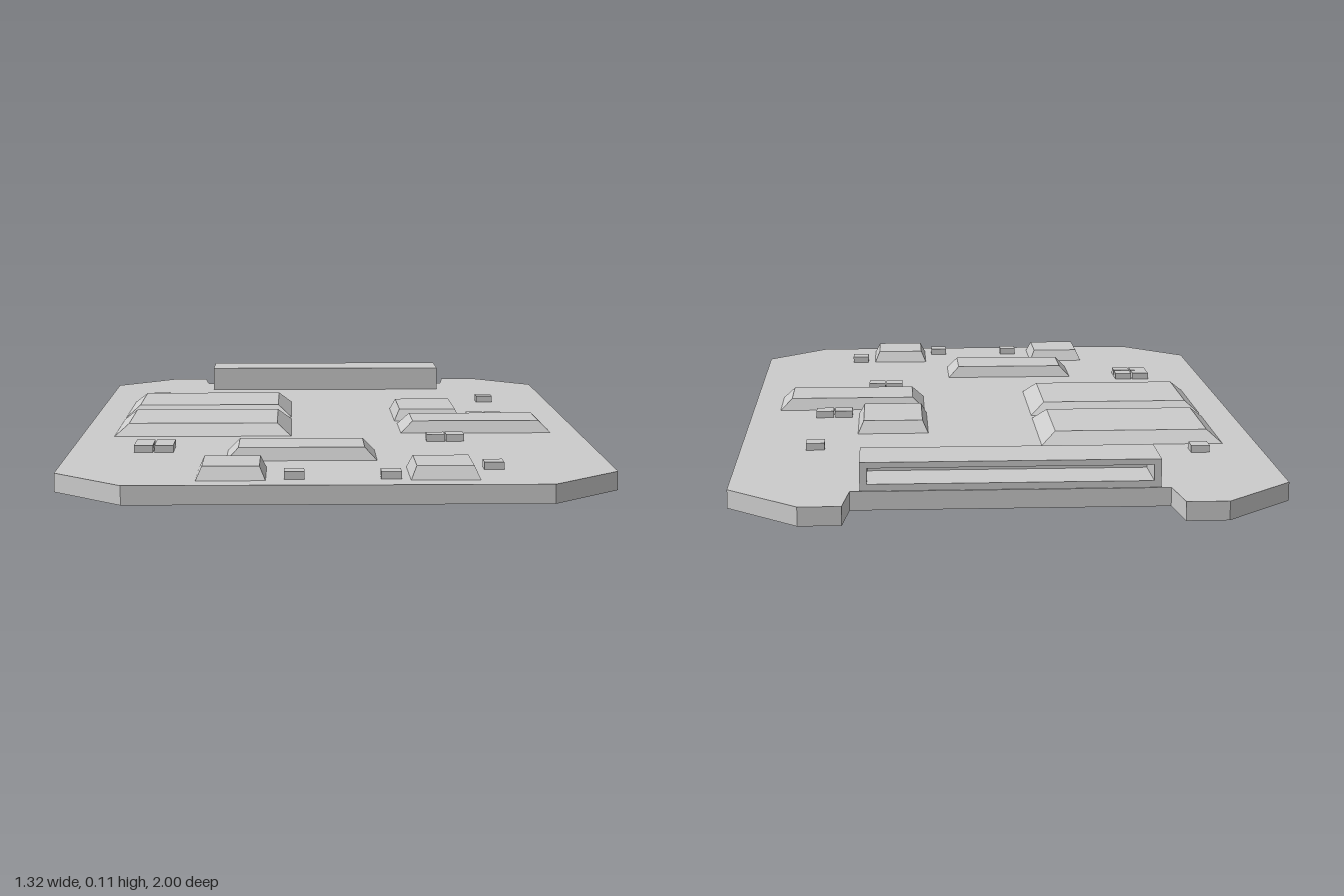
import * as THREE from 'three';

const BOARD_TOP = 0.045;
const material = new THREE.MeshStandardMaterial({ color: 0xcccccc, flatShading: true });

function add(group, name, geometry) {
  const mesh = new THREE.Mesh(geometry, material);
  mesh.name = name;
  group.add(mesh);
  return mesh;
}

function polygon(points) {
  return new THREE.Shape(points.map(([x, y]) => new THREE.Vector2(x, y)));
}

// Box on the board whose top face is inset by tx and tz on each side
function taperedBlock(x0, x1, z0, z1, height, tx = 0, tz = 0) {
  const w = x1 - x0, d = z1 - z0;
  const geometry = new THREE.BoxGeometry(w, height, d);
  const p = geometry.attributes.position;
  for (let i = 0; i < p.count; i++) {
    if (p.getY(i) > 0) {
      p.setX(i, p.getX(i) * (1 - 2 * tx / w));
      p.setZ(i, p.getZ(i) * (1 - 2 * tz / d));
    }
  }
  geometry.computeVertexNormals();
  return geometry.translate((x0 + x1) / 2, BOARD_TOP + height / 2, (z0 + z1) / 2);
}

export function createModel() {
  const model = new THREE.Group();
  model.name = 'circuitBoard';

  // Board plate: chamfered corners, notch at the back edge
  const half = [[0.49, -1], [0.66, -0.83], [0.66, 0.835], [0.49, 1], [0.39, 1], [0.375, 0.87]];
  const mirrored = half.map(([x, y]) => [-x, y]).reverse();
  const plate = new THREE.ExtrudeGeometry(polygon([...half, ...mirrored]), { depth: BOARD_TOP, bevelEnabled: false });
  add(model, 'boardPlate', plate.rotateX(-Math.PI / 2));

  // Edge connector: rectangular sleeve open to the back, closed at its front
  const connector = new THREE.Group();
  connector.name = 'connector';
  const height = 0.068;
  const rim = polygon([[-0.352, 0], [0.352, 0], [0.352, height], [-0.352, height]]);
  rim.holes.push(polygon([[-0.335, 0.016], [-0.335, height - 0.014], [0.335, height - 0.014], [0.335, 0.016]]));
  const sleeve = new THREE.ExtrudeGeometry(rim, { depth: 0.13, bevelEnabled: false });
  add(connector, 'connectorSleeve', sleeve.translate(0, BOARD_TOP, -0.866));
  add(connector, 'connectorWall', taperedBlock(-0.352, 0.352, -0.736, -0.716, height));
  model.add(connector);

  // Chips: x0, x1, z0, z1, inset in x, inset in z
  const chips = [
    [-0.573, -0.107, -0.427, -0.097, 0.037, 0.03],
    [-0.573, -0.107, -0.063, 0.267, 0.037, 0.03],
    [0.18, 0.365, -0.268, -0.01, 0.015, 0.02],
    [0.185, 0.585, 0.037, 0.22, 0.032, 0.015],
    [-0.265, 0.102, 0.49, 0.665, 0.03, 0.013],
    [-0.325, -0.165, 0.755, 0.942, 0.014, 0.018],
    [0.167, 0.327, 0.755, 0.942, 0.014, 0.018],
  ];
  chips.forEach(([x0, x1, z0, z1, tx, tz], i) =>
    add(model, `chip${i + 1}`, taperedBlock(x0, x1, z0, z1, 0.031, tx, tz)));

  // Small surface components: centre x, z
  const parts = [
    [-0.5, -0.5], [0.47, -0.425], [0.407, -0.04], [0.458, -0.04],
    [0.267, 0.341], [0.317, 0.341], [-0.475, 0.46], [-0.424, 0.46],
    [-0.475, 0.512], [-0.424, 0.512], [-0.1, 0.903], [0.123, 0.903], [0.372, 0.778],
  ];
  const r = 0.0235;
  parts.forEach(([x, z], i) =>
    add(model, `component${i + 1}`, taperedBlock(x - r, x + r, z - r, z + r, 0.018)));

  return model;
}
